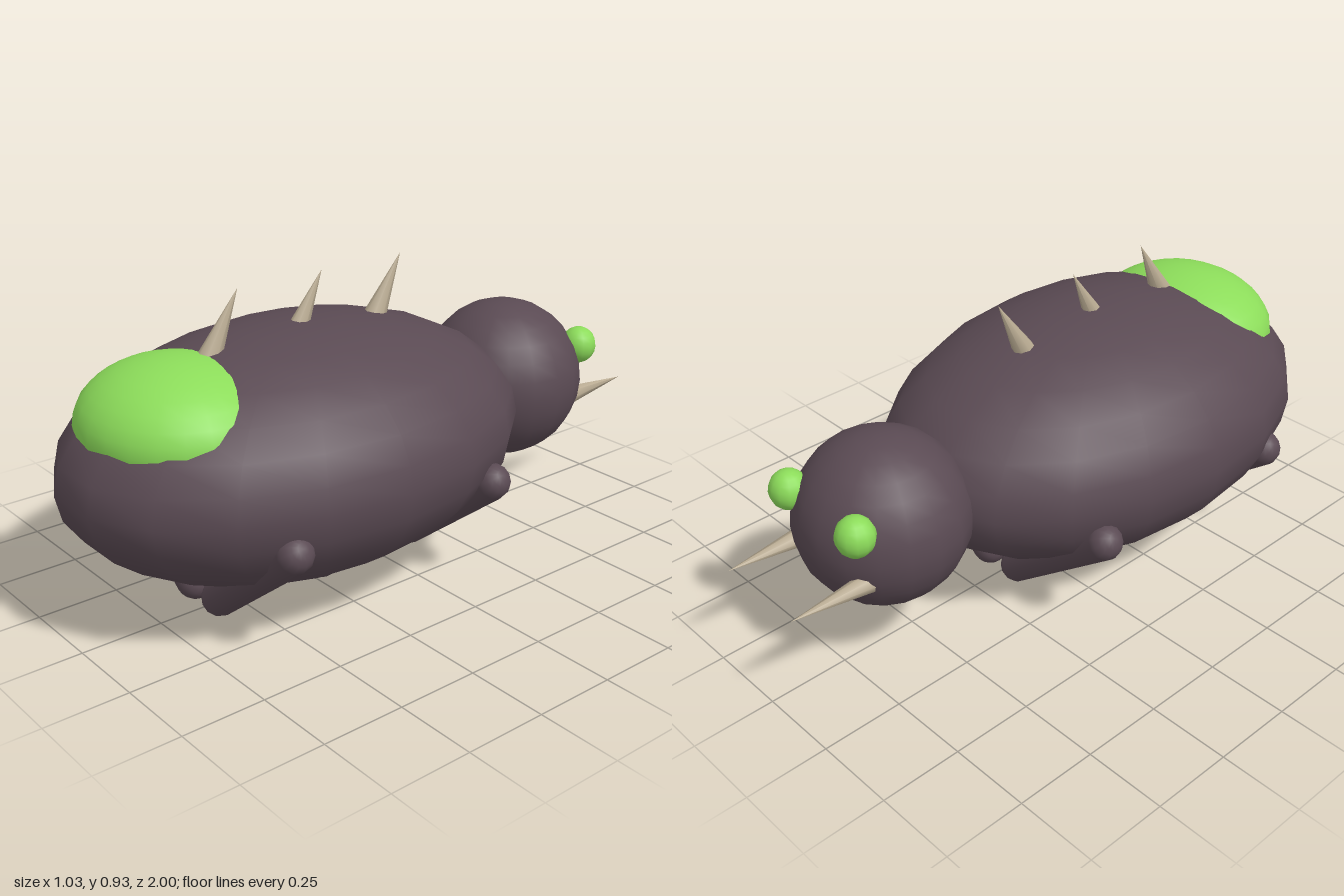
import * as THREE from 'three';

const material = (name, color) => {
  const m = new THREE.MeshStandardMaterial({ color });
  m.name = name;
  return m;
};

export function createModel() {
  const shell = material('dark shell', 0x5a4a53);
  const glow = material('bright green', 0x8cdc5a);
  const horn = material('pale horn', 0xb9ab92);
  const model = new THREE.Group();
  model.name = 'beetle';

  const add = (name, geometry, mat, x, y, z) => {
    const mesh = new THREE.Mesh(geometry, mat);
    mesh.name = name;
    mesh.position.set(x, y, z);
    model.add(mesh);
    return mesh;
  };
  const ellipsoid = (name, mat, pos, radii, w = 18, h = 14) =>
    add(name, new THREE.SphereGeometry(1, w, h), mat, ...pos).scale.set(...radii);

  // Places a part whose long axis runs between two points
  const between = (name, make, mat, a, b) => {
    const start = new THREE.Vector3(...a);
    const end = new THREE.Vector3(...b);
    const dir = end.clone().sub(start);
    const mid = start.clone().add(end).multiplyScalar(0.5);
    const mesh = add(name, make(dir.length()), mat, mid.x, mid.y, mid.z);
    mesh.quaternion.setFromUnitVectors(new THREE.Vector3(0, 1, 0), dir.normalize());
  };
  const spike = (radius) => (length) => new THREE.ConeGeometry(radius, length, 8);
  const limb = (length) => new THREE.CapsuleGeometry(0.055, length, 5, 12);

  // Body, head and the glowing patch on the rump
  ellipsoid('body', shell, [0, 0.438, 0.26], [0.515, 0.36, 0.75]);
  ellipsoid('head', shell, [0, 0.438, -0.58], [0.257, 0.257, 0.257]);
  ellipsoid('rumpPatch', glow, [0, 0.597, 0.66], [0.3, 0.18, 0.276], 24, 16);

  // Spikes along the back, leaning towards the head
  for (const z of [-0.135, 0.16, 0.45]) {
    between('backSpike', spike(0.035), horn, [0, 0.75, z + 0.1], [0, 0.93, z]);
  }

  for (const [side, s] of [['left', 1], ['right', -1]]) {
    // Eyes and mandibles
    ellipsoid(side + 'Eye', glow, [s * 0.15, 0.54, -0.78], [0.057, 0.06, 0.057], 12, 10);
    between(side + 'Mandible', spike(0.033), horn, [s * 0.148, 0.37, -0.73], [s * 0.146, 0.375, -1]);
    // Three folded legs on each side
    for (const [place, z] of [['Front', -0.125], ['Middle', 0.23], ['Hind', 0.59]]) {
      between(side + place + 'Leg', limb, shell, [s * 0.065, 0.055, z], [s * 0.425, 0.335, z]);
    }
  }
  return model;
}
